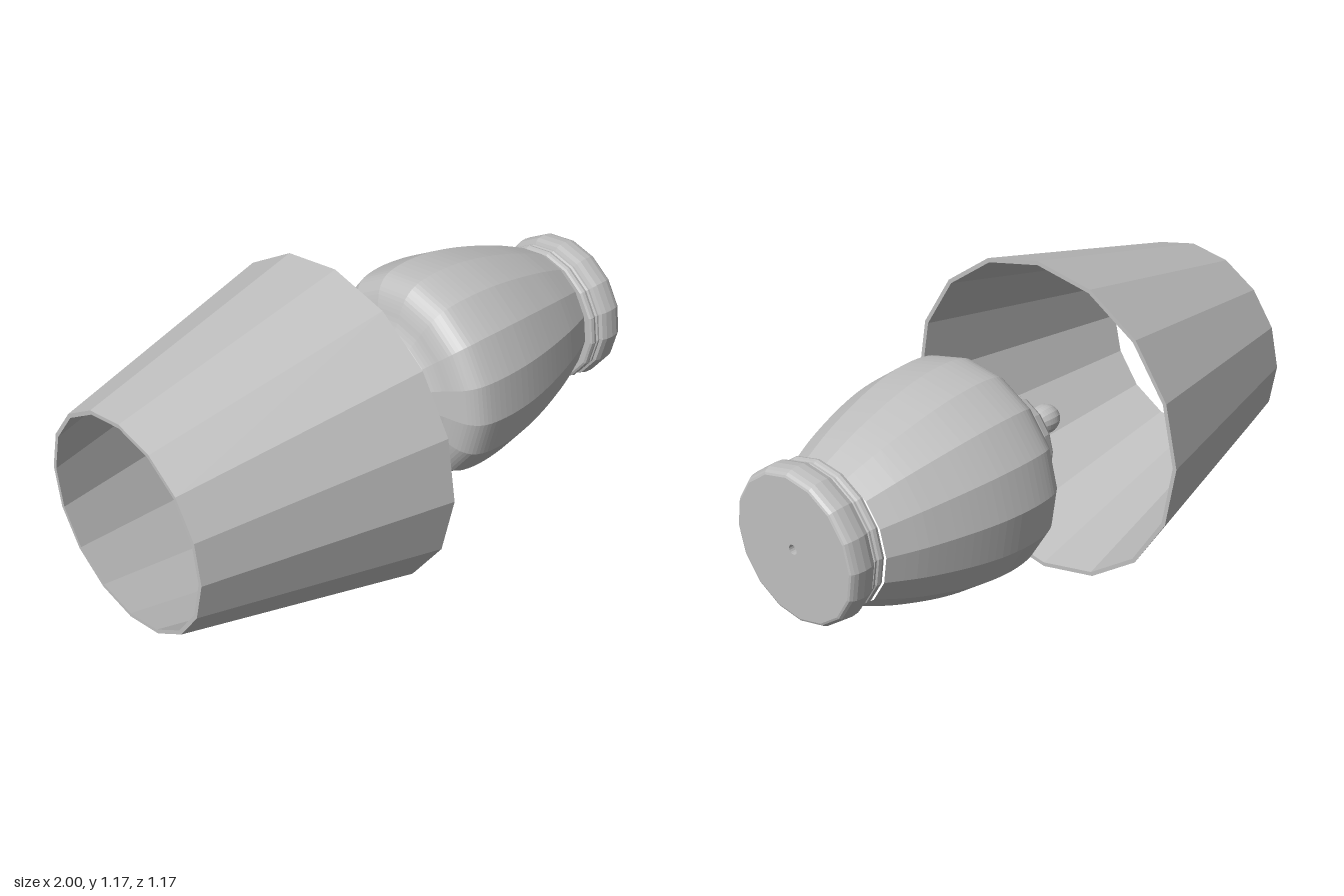
import * as THREE from 'three';

const SIDES = 16;
const AXIS_Y = 0.588;

// Turned part lying along x; profile points are [x, radius]
function turned(name, profile, material, z, phaseDeg, smoothSteps = 0) {
  let pts = profile.map(([x, r]) => new THREE.Vector2(r, x));
  if (smoothSteps) pts = new THREE.SplineCurve(pts).getPoints(smoothSteps);
  pts.forEach(p => { p.x = Math.max(p.x, 0); });
  const geo = new THREE.LatheGeometry(pts, SIDES, THREE.MathUtils.degToRad(phaseDeg));
  geo.rotateZ(-Math.PI / 2);
  const mesh = new THREE.Mesh(geo, material);
  mesh.name = name;
  mesh.position.set(0, AXIS_Y, z);
  return mesh;
}

export function createModel() {
  const lamp = new THREE.Group();
  lamp.name = 'tableLamp';
  const grey = new THREE.MeshStandardMaterial({ color: 0xbfbfbf, flatShading: true });
  grey.name = 'plain grey';

  // Open conical shade with a thin wall
  lamp.add(turned('shade', [
    [-1, 0.384], [-0.143, 0.585], [-0.143, 0.57], [-1, 0.37], [-1, 0.384],
  ], grey, 0, 2));

  // Knob and its thin stem
  lamp.add(turned('knob', [
    [-0.21, 0], [-0.207, 0.02], [-0.195, 0.038], [-0.17, 0.05], [-0.14, 0.051],
    [-0.11, 0.043], [-0.09, 0.03], [-0.078, 0.017],
  ], grey, -0.005, 2, 20));
  lamp.add(turned('stemRing', [
    [-0.08, 0.015], [-0.078, 0.023], [-0.07, 0.026], [-0.062, 0.023], [-0.06, 0.015],
  ], grey, -0.005, 2));
  lamp.add(turned('stem', [
    [-0.065, 0.017], [-0.05, 0.02], [-0.03, 0.029], [-0.015, 0.044], [-0.005, 0.065], [0.003, 0.1],
  ], grey, -0.008, 2, 12));

  // Rounded neck
  lamp.add(turned('neck', [
    [0, 0], [0, 0.13], [0.004, 0.152], [0.014, 0.172], [0.03, 0.185], [0.055, 0.191], [0.115, 0.192],
  ], grey, -0.018, 3));

  // Vase-shaped body
  lamp.add(turned('body', [
    [0.11, 0.19], [0.13, 0.205], [0.15, 0.245], [0.165, 0.293], [0.185, 0.335], [0.22, 0.366],
    [0.27, 0.38], [0.35, 0.384], [0.45, 0.375], [0.55, 0.354], [0.65, 0.325], [0.75, 0.29],
    [0.86, 0.242],
  ], grey, -0.016, 3, 40));

  // Moulded foot with a small cable hole
  lamp.add(turned('foot', [
    [0.855, 0.2], [0.855, 0.246], [0.86, 0.253], [0.87, 0.256], [0.88, 0.253], [0.885, 0.246],
    [0.89, 0.253], [0.897, 0.253], [0.902, 0.245], [0.908, 0.26], [0.925, 0.266], [0.95, 0.268],
    [0.975, 0.265], [0.988, 0.26], [0.997, 0.254], [1, 0.247],
    [1, 0.017], [0.98, 0.017], [0.98, 0],
  ], grey, 0.005, 3));

  return lamp;
}
